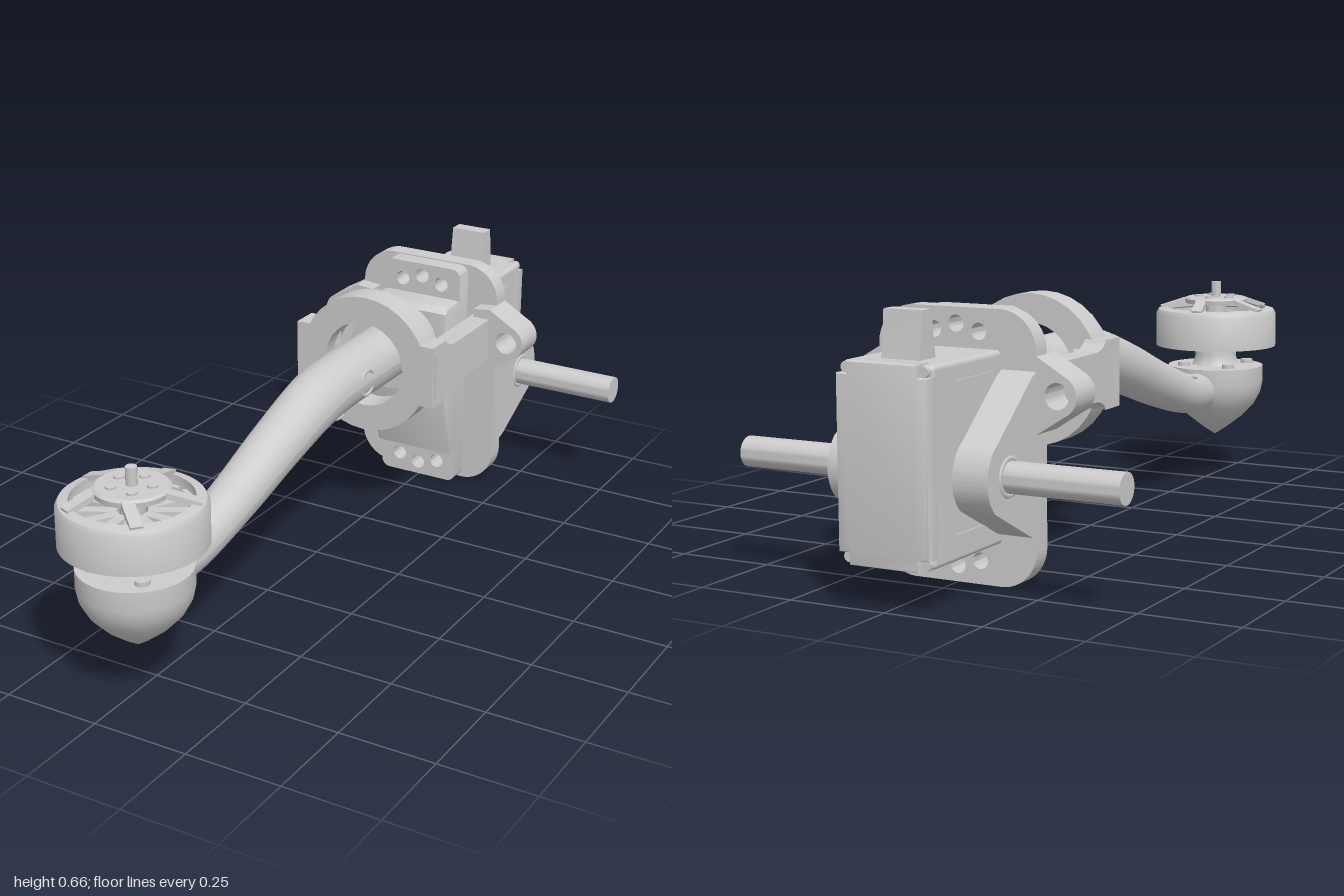
import * as THREE from 'three';
import { toCreasedNormals } from 'three/addons/utils/BufferGeometryUtils.js';
import { RoundedBoxGeometry } from 'three/addons/geometries/RoundedBoxGeometry.js';

const mat = new THREE.MeshStandardMaterial({ color: 0xcccccc, side: THREE.DoubleSide });
const AXIS_Y = 0.457; // height of the tilt axis

export function createModel() {
  const model = new THREE.Group();
  model.name = 'tiltRotorArm';

  const add = (name, geo, x = 0, y = 0, z = 0, parent = model) => {
    const m = new THREE.Mesh(geo, mat);
    m.name = name;
    m.position.set(x, y, z);
    parent.add(m);
    return m;
  };
  const crease = (g) => toCreasedNormals(g, 0.6);
  const lathe = (pts, seg = 48) => crease(new THREE.LatheGeometry(pts.map(([r, y]) => new THREE.Vector2(r, y)), seg));
  const circle = (x, y, r) => new THREE.Path().absarc(x, y, r, 0, Math.PI * 2, true);
  const poly = (pts) => new THREE.Shape(pts.map(([a, b]) => new THREE.Vector2(a, b)));
  const extrude = (shape, depth, bevel = 0) => crease(new THREE.ExtrudeGeometry(shape, {
    depth: depth - 2 * bevel, curveSegments: 16, bevelEnabled: bevel > 0, bevelSize: bevel,
    bevelThickness: bevel, bevelOffset: -bevel, bevelSegments: 2,
  }).translate(0, 0, bevel));
  // extrusion of a (z, y) shape, centred across x
  const extrudeX = (shape, width, bevel = 0) => extrude(shape, width, bevel).rotateY(-Math.PI / 2).translate(width / 2, 0, 0);
  const cylZ = (r, len, seg = 40) => crease(new THREE.CylinderGeometry(r, r, len, seg).rotateX(Math.PI / 2));
  const roundRect = (x0, y0, x1, y1, r) => {
    const s = new THREE.Shape();
    s.absarc(x1 - r, y0 + r, r, -Math.PI / 2, 0);
    s.absarc(x1 - r, y1 - r, r, 0, Math.PI / 2);
    s.absarc(x0 + r, y1 - r, r, Math.PI / 2, Math.PI);
    s.absarc(x0 + r, y0 + r, r, Math.PI, Math.PI * 1.5);
    s.closePath();
    return s;
  };

  // Motor pod: pointed fairing, neck and motor
  const pod = new THREE.Group();
  pod.name = 'motorPod';
  pod.position.z = 0.82;
  model.add(pod);
  add('podFairing', lathe([[0, 0.12], [0.035, 0.143], [0.08, 0.178], [0.115, 0.215], [0.134, 0.25], [0.14, 0.28], [0.14, 0.33], [0, 0.333]]), 0, 0, 0, pod);
  add('motorNeck', lathe([[0.07, 0.332], [0.064, 0.342], [0.06, 0.36], [0.06, 0.385], [0.085, 0.395], [0.085, 0.41], [0, 0.41]]), 0, 0, 0, pod);
  add('motorBell', lathe([[0.16, 0.39], [0.177, 0.39], [0.177, 0.485], [0.17, 0.498], [0.145, 0.503], [0.145, 0.49], [0.16, 0.485], [0.16, 0.39]], 60), 0, 0, 0, pod);
  add('motorHub', lathe([[0.03, 0.4], [0.03, 0.515], [0.09, 0.515], [0.092, 0.528], [0.085, 0.533], [0, 0.533]], 40), 0, 0, 0, pod);
  add('motorShaft', crease(new THREE.CylinderGeometry(0.014, 0.014, 0.18, 20)), 0, 0.488, 0, pod);
  for (let i = 0; i < 5; i++) {
    const a = (i / 5) * Math.PI * 2 + 0.3;
    const arm = new THREE.Group();
    arm.name = 'bellSpoke';
    arm.rotation.y = a;
    pod.add(arm);
    const spoke = add('spokeBar', new THREE.BoxGeometry(0.09, 0.014, 0.03), 0.12, 0.512, 0, arm);
    spoke.rotation.set(0, 0.25, -0.3);
    const screw = add('hubScrew', new THREE.CylinderGeometry(0.013, 0.013, 0.006, 16), 0.05, 0.535, 0, arm);
    screw.rotation.y = a;
  }
  for (let i = 0; i < 12; i++) {
    const tooth = new THREE.Group();
    tooth.name = 'statorTooth';
    tooth.rotation.y = (i / 12) * Math.PI * 2;
    pod.add(tooth);
    add('winding', new THREE.BoxGeometry(0.1, 0.06, 0.026), 0.085, 0.44, 0, tooth);
    add('toothTip', new THREE.BoxGeometry(0.012, 0.07, 0.06), 0.143, 0.44, 0, tooth);
  }
  for (let i = 0; i < 4; i++) {
    const a = (i / 4) * Math.PI * 2 + Math.PI / 4;
    add('neckScrew', new THREE.CylinderGeometry(0.018, 0.018, 0.012, 16), 0.1 * Math.cos(a), 0.336, 0.1 * Math.sin(a), pod);
  }

  // Curved arm: a tube whose radius grows toward the tilt axis
  const path = new THREE.CatmullRomCurve3([[0.75, 0.262], [0.6, 0.272], [0.4, 0.327], [0.2, 0.394], [0, 0.449],
    [-0.12, AXIS_Y], [-0.25, AXIS_Y], [-0.4, AXIS_Y]].map(([z, y]) => new THREE.Vector3(0, y, z)));
  const steps = 60, sides = 32;
  const tube = new THREE.TubeGeometry(path, steps, 1, sides);
  const pos = tube.attributes.position, v = new THREE.Vector3();
  for (let i = 0; i <= steps; i++) {
    const c = path.getPointAt(i / steps);
    const r = THREE.MathUtils.lerp(0.052, 0.077, THREE.MathUtils.clamp((0.75 - c.z) / 0.75, 0, 1));
    for (let j = 0; j <= sides; j++) {
      const k = i * (sides + 1) + j;
      v.fromBufferAttribute(pos, k).sub(c).multiplyScalar(r).add(c);
      pos.setXYZ(k, v.x, v.y, v.z);
    }
  }
  tube.computeVertexNormals();
  add('curvedArm', tube);
  for (const s of [-1, 1]) {
    add('armSideHole', new THREE.TorusGeometry(0.034, 0.006, 8, 28).rotateY(Math.PI / 2), s * 0.07, AXIS_Y, -0.14);
  }
  add('cableHole', new THREE.TorusGeometry(0.036, 0.006, 8, 28).rotateX(Math.PI / 2 + 0.25), 0, 0.323, 0.585);
  add('armBottomHole', new THREE.TorusGeometry(0.036, 0.007, 8, 28).rotateX(Math.PI / 2), 0, 0.381, -0.06);

  // Horn disc and splined output shaft
  add('hornDisc', cylZ(0.118, 0.06), 0, AXIS_Y, -0.42);
  add('outputShaft', cylZ(0.052, 0.07, 24), 0, AXIS_Y, -0.475);
  for (let i = 0; i < 18; i++) {
    const a = (i / 18) * Math.PI * 2;
    const t = add('splineTooth', new THREE.BoxGeometry(0.012, 0.01, 0.035), 0.054 * Math.cos(a), AXIS_Y + 0.054 * Math.sin(a), -0.47);
    t.rotation.z = a;
  }

  // Bracket: support ring, side rails, ears and back plate
  const ring = new THREE.Shape().absarc(0, AXIS_Y, 0.19, 0, Math.PI * 2);
  ring.holes.push(circle(0, AXIS_Y, 0.118));
  add('supportRing', extrude(ring, 0.075), 0, 0, -0.325);

  const rail = new THREE.Shape();
  rail.moveTo(-0.25, AXIS_Y + 0.085);
  rail.lineTo(-0.325, AXIS_Y + 0.085);
  rail.quadraticCurveTo(-0.335, AXIS_Y + 0.062, -0.38, AXIS_Y + 0.06);
  rail.lineTo(-0.68, AXIS_Y + 0.06);
  rail.lineTo(-0.68, AXIS_Y - 0.06);
  rail.lineTo(-0.38, AXIS_Y - 0.06);
  rail.quadraticCurveTo(-0.335, AXIS_Y - 0.062, -0.325, AXIS_Y - 0.085);
  rail.lineTo(-0.25, AXIS_Y - 0.085);

  // lug that holds the cross rod, behind the plate
  const lug = new THREE.Shape();
  lug.moveTo(-0.66, 0.52);
  lug.lineTo(-0.7, 0.5);
  lug.lineTo(-0.866, 0.365);
  lug.absarc(-0.805, 0.29, 0.098, Math.PI - 0.85, Math.PI + 0.85);
  lug.lineTo(-0.7, 0.13);
  lug.lineTo(-0.66, 0.12);
  lug.holes.push(circle(-0.805, 0.29, 0.048));

  for (const s of [-1, 1]) {
    const side = s > 0 ? 'left' : 'right';
    add(side + 'Rail', extrudeX(rail, 0.058), s * 0.179, 0, 0);
    const gusset = poly([[s * 0.21, -0.26], [s * 0.1, -0.3], [s * 0.12, -0.325], [s * 0.152, -0.39], [s * 0.2, -0.39]]);
    add(side + 'Gusset', extrude(gusset, 0.12).rotateX(Math.PI / 2), 0, AXIS_Y + 0.06, 0);
    const ear = new THREE.Shape();
    ear.moveTo(s * 0.16, 0.54);
    ear.lineTo(s * 0.21, 0.545);
    for (let i = 0; i <= 14; i++) {
      const a = 1.15 - (i / 14) * 2.3;
      ear.lineTo(s * (0.262 + 0.05 * Math.cos(a)), AXIS_Y + 0.05 * Math.sin(a));
    }
    ear.lineTo(s * 0.21, 0.365);
    ear.lineTo(s * 0.16, 0.375);
    ear.holes.push(circle(s * 0.262, AXIS_Y, 0.031));
    add(side + 'Ear', extrude(ear, 0.095), 0, 0, -0.68);
    add(side + 'RodLug', extrudeX(lug, 0.09), s * 0.165, 0, 0);
    add(side + 'Rod', crease(new THREE.CylinderGeometry(0.037, 0.037, 0.38, 32).rotateZ(Math.PI / 2)), s * 0.31, 0.29, -0.805);
    add(side + 'RodCollar', new THREE.TorusGeometry(0.042, 0.008, 8, 32).rotateY(Math.PI / 2), s * 0.206, 0.29, -0.805);
  }

  const screwHoles = () => [[-0.06, 0.056], [0, 0.04], [0.06, 0.056], [-0.06, 0.594], [0, 0.61], [0.06, 0.594]]
    .map(([x, y]) => circle(x, y, 0.02));
  const plate = roundRect(-0.21, 0, 0.21, 0.648, 0.095);
  plate.holes.push(...screwHoles());
  add('backPlate', extrude(plate, 0.05), 0, 0, -0.68);

  // Servo: mounting flange, tapered gearbox, case and rear cap
  const flange = roundRect(-0.118, 0.003, 0.118, 0.645, 0.025);
  flange.holes.push(...screwHoles());
  add('servoFlange', extrude(flange, 0.05), 0, 0, -0.63);
  add('servoGearbox', extrudeX(poly([[-0.5, 0.29], [-0.55, 0.1], [-0.68, 0.1], [-0.68, 0.556], [-0.515, 0.556], [-0.5, 0.54]]), 0.236, 0.01));
  add('servoCase', new RoundedBoxGeometry(0.236, 0.452, 0.31, 3, 0.012), 0, 0.328, -0.82);
  const w = 0.118, c = 0.028, lo = 0.098, hi = 0.556;
  const cap = poly([[-w + c, lo], [w - c, lo], [w - c, lo + c], [w, lo + c], [w, hi - c], [w - c, hi - c],
    [w - c, hi], [-w + c, hi], [-w + c, hi - c], [-w, hi - c], [-w, lo + c], [-w + c, lo + c]]);
  add('servoRearCap', extrude(cap, 0.06, 0.006), 0, 0, -1);
  for (const s of [-1, 1]) {
    for (const y of [0.16, 0.505]) add('caseRib', new THREE.BoxGeometry(0.008, 0.012, 0.17), s * 0.118, y, -0.8);
    for (const y of [lo + 0.016, hi - 0.016]) {
      add('capScrew', cylZ(0.013, 0.02, 16), s * 0.1, y, -0.975);
    }
  }
  // tapered cable boot on top
  add('cableBoot', extrude(poly([[-0.92, 0.54], [-0.85, 0.54], [-0.858, 0.6], [-0.866, 0.664], [-0.906, 0.664], [-0.912, 0.6]]), 0.1)
    .rotateY(-Math.PI / 2), 0.05, 0, 0);

  return model;
}
